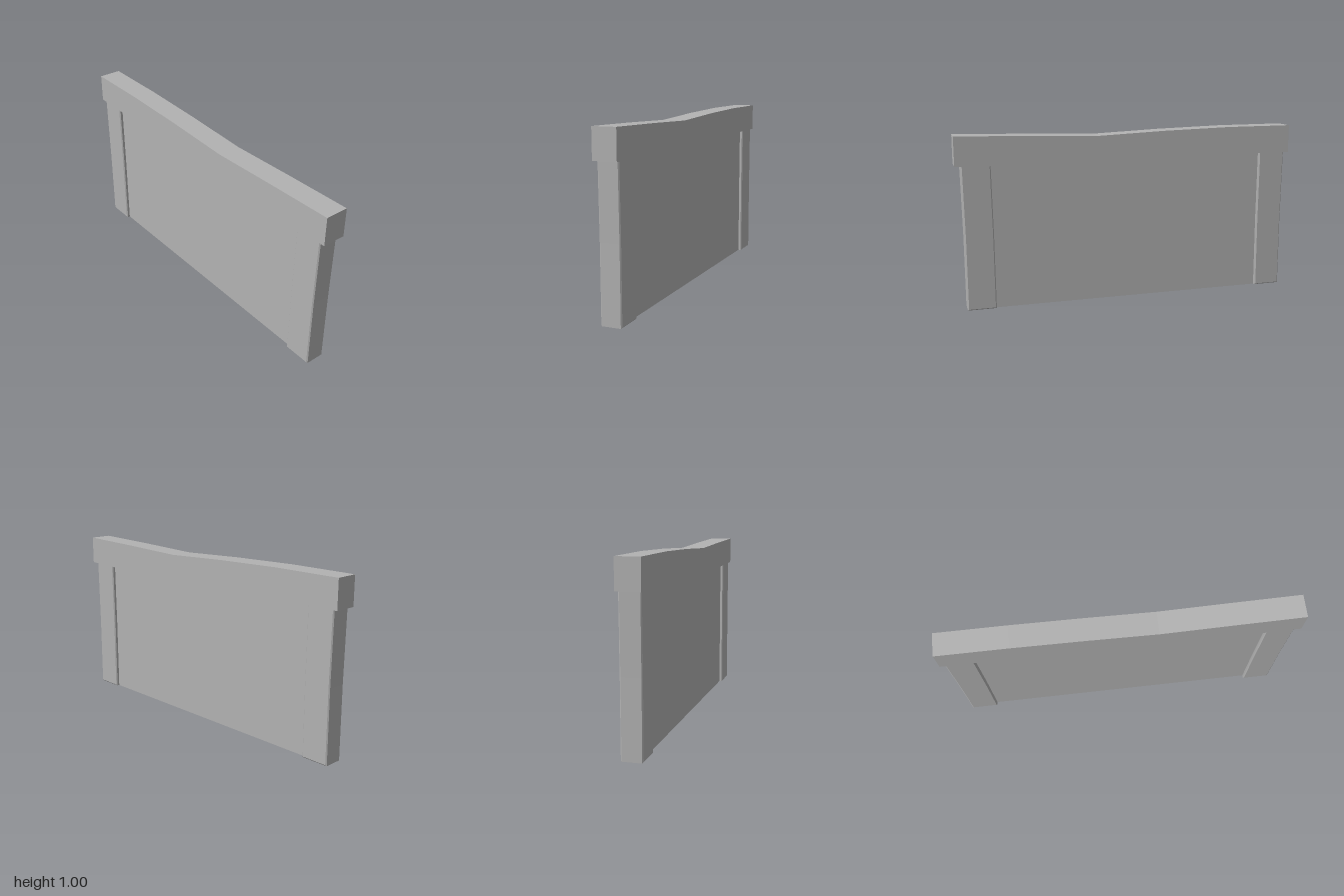
import * as THREE from 'three';

const grey = new THREE.MeshStandardMaterial({ color: 0xb2b2b2 });
grey.name = 'plain grey';

// Extrudes an outline in x, y to a slab between z0 and z1, with an optional chamfer.
function slab(name, points, z0, z1, bevel = 0) {
  const shape = new THREE.Shape(points.map(([x, y]) => new THREE.Vector2(x, y)));
  const geometry = new THREE.ExtrudeGeometry(shape, {
    depth: z1 - z0 - 2 * bevel,
    bevelEnabled: bevel > 0,
    bevelSize: bevel,
    bevelThickness: bevel,
    bevelOffset: -bevel,
    bevelSegments: 1,
  });
  geometry.translate(0, 0, z0 + bevel);
  const mesh = new THREE.Mesh(geometry, grey);
  mesh.name = name;
  return mesh;
}

export function createModel() {
  const group = new THREE.Group();
  group.name = 'wallSection';

  // Sagging cap rail: one top line, repeated lower down for the underside
  const top = [[-1, 0.995], [-0.6, 0.994], [-0.2, 0.983], [0.2, 0.965], [0.6, 0.977], [1, 0.986]];
  const shifted = (drop) => top.map(([x, y]) => [x, y - drop]);
  group.add(slab('capRail', [...shifted(0.164), ...top.slice().reverse()], -0.065, 0.067));

  // Recessed infill panel, its top edge tucked into the rail
  const panelTop = shifted(0.12).slice(1, -1).reverse();
  group.add(slab('panel',
    [[-0.85, 0], [0.85, 0], [0.85, 0.86], ...panelTop, [-0.85, 0.87]], -0.037, 0.04));

  // Slightly bowed end posts with chamfered edges
  group.add(slab('rightPost',
    [[-0.97, 0], [-0.81, 0], [-0.809, 0.42], [-0.813, 0.88], [-0.975, 0.88], [-0.969, 0.42]],
    -0.057, 0.06, 0.006));
  group.add(slab('leftPost',
    [[0.798, 0], [0.96, 0], [0.96, 0.42], [0.967, 0.88], [0.805, 0.88], [0.799, 0.42]],
    -0.057, 0.06, 0.006));

  return group;
}
